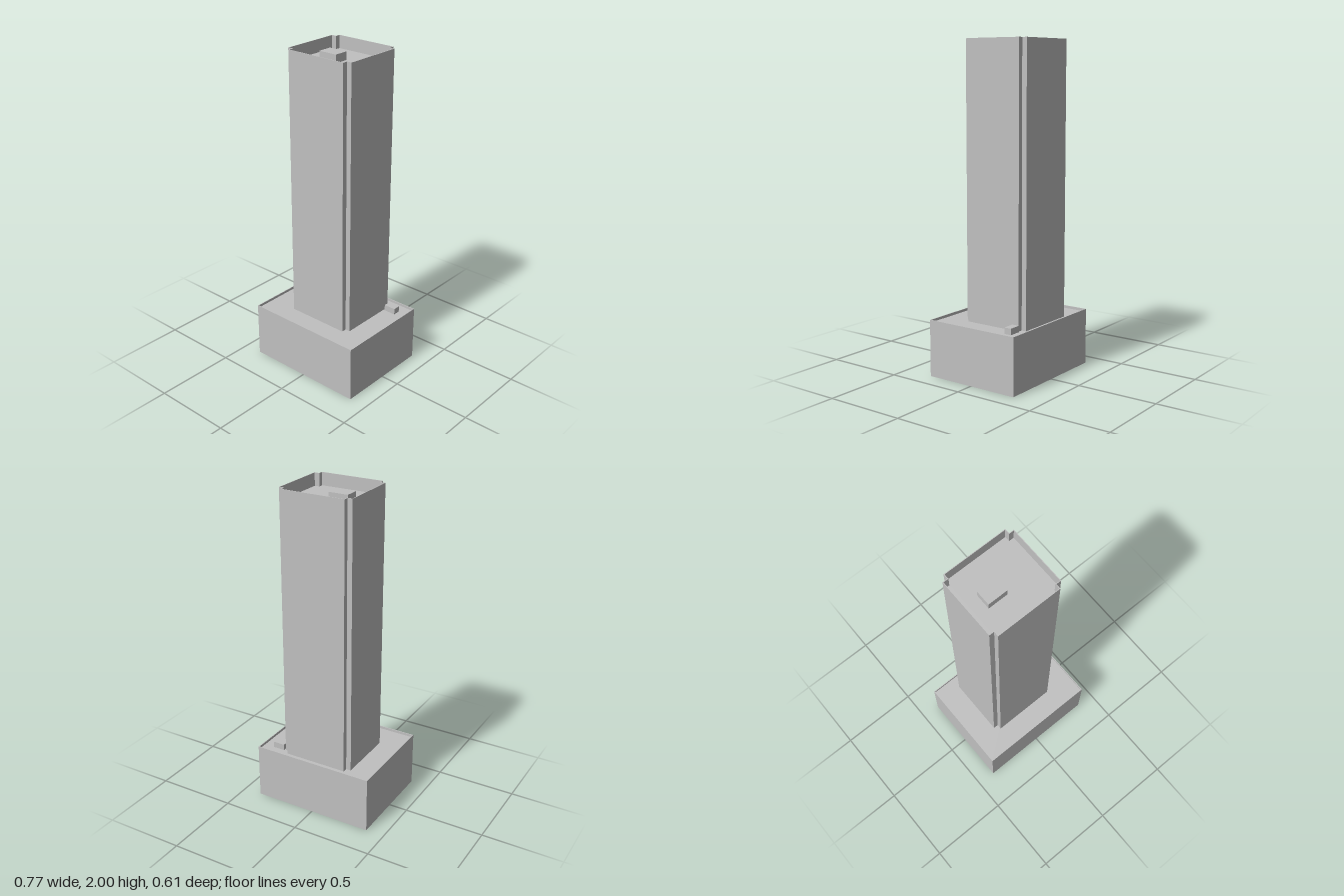
import * as THREE from 'three';
import { mergeGeometries } from 'three/addons/utils/BufferGeometryUtils.js';

const concrete = new THREE.MeshStandardMaterial({ color: 0xc0c0c0, side: THREE.DoubleSide });
concrete.name = 'concrete';

// Plan outline (anticlockwise from above) with square notches cut from its corners.
function outline(x0, x1, z0, z1, notch) {
  if (!notch) return [[x0, z1], [x1, z1], [x1, z0], [x0, z0]];
  const n = notch;
  return [
    [x0 + n, z1], [x1 - n, z1], [x1 - n, z1 - n], [x1, z1 - n],
    [x1, z0 + n], [x1 - n, z0 + n], [x1 - n, z0], [x0 + n, z0],
    [x0 + n, z0 + n], [x0, z0 + n], [x0, z1 - n], [x0 + n, z1 - n],
  ];
}

// Walls, parapet rim, inner parapet faces and sunken roof; open underneath.
function walledBlock(name, [x0, x1, z0, z1], notch, bottom, top, roof, rim) {
  const outer = outline(x0, x1, z0, z1, notch);
  const inner = outline(x0 + rim, x1 - rim, z0 + rim, z1 - rim, notch);
  const rings = [[outer, bottom], [outer, top], [inner, top], [inner, roof]]
    .map(([pts, y]) => pts.map(([x, z]) => [x, y, z]));
  const pos = [];
  for (let r = 0; r < rings.length - 1; r++) {
    const a = rings[r], b = rings[r + 1];
    for (let i = 0; i < a.length; i++) {
      const j = (i + 1) % a.length;
      pos.push(...a[i], ...a[j], ...b[j], ...a[i], ...b[j], ...b[i]);
    }
  }
  const walls = new THREE.BufferGeometry();
  walls.setAttribute('position', new THREE.Float32BufferAttribute(pos, 3));
  walls.computeVertexNormals();

  const shape = new THREE.Shape(inner.map(([x, z]) => new THREE.Vector2(x, -z)));
  const deck = new THREE.ShapeGeometry(shape).toNonIndexed();
  deck.rotateX(-Math.PI / 2).translate(0, roof, 0);
  deck.deleteAttribute('uv');

  const mesh = new THREE.Mesh(mergeGeometries([walls, deck]), concrete);
  mesh.name = name;
  return mesh;
}

function box(name, [x0, x1, z0, z1], bottom, top) {
  const mesh = new THREE.Mesh(new THREE.BoxGeometry(x1 - x0, top - bottom, z1 - z0), concrete);
  mesh.position.set((x0 + x1) / 2, (bottom + top) / 2, (z0 + z1) / 2);
  mesh.name = name;
  return mesh;
}

export function createModel() {
  const model = new THREE.Group();
  model.name = 'towerBuilding';
  model.add(
    walledBlock('podium', [-0.384, 0.384, -0.307, 0.307], 0, 0, 0.348, 0.332, 0.005),
    walledBlock('tower', [-0.232, 0.23, -0.263, 0.168], 0.031, 0.332, 2, 1.922, 0.004),
    box('podiumRoofUnit', [0.239, 0.315, -0.24, -0.194], 0.332, 0.37),
    box('towerRoofUnit', [-0.124, -0.001, -0.093, -0.002], 1.922, 1.972),
  );
  return model;
}
